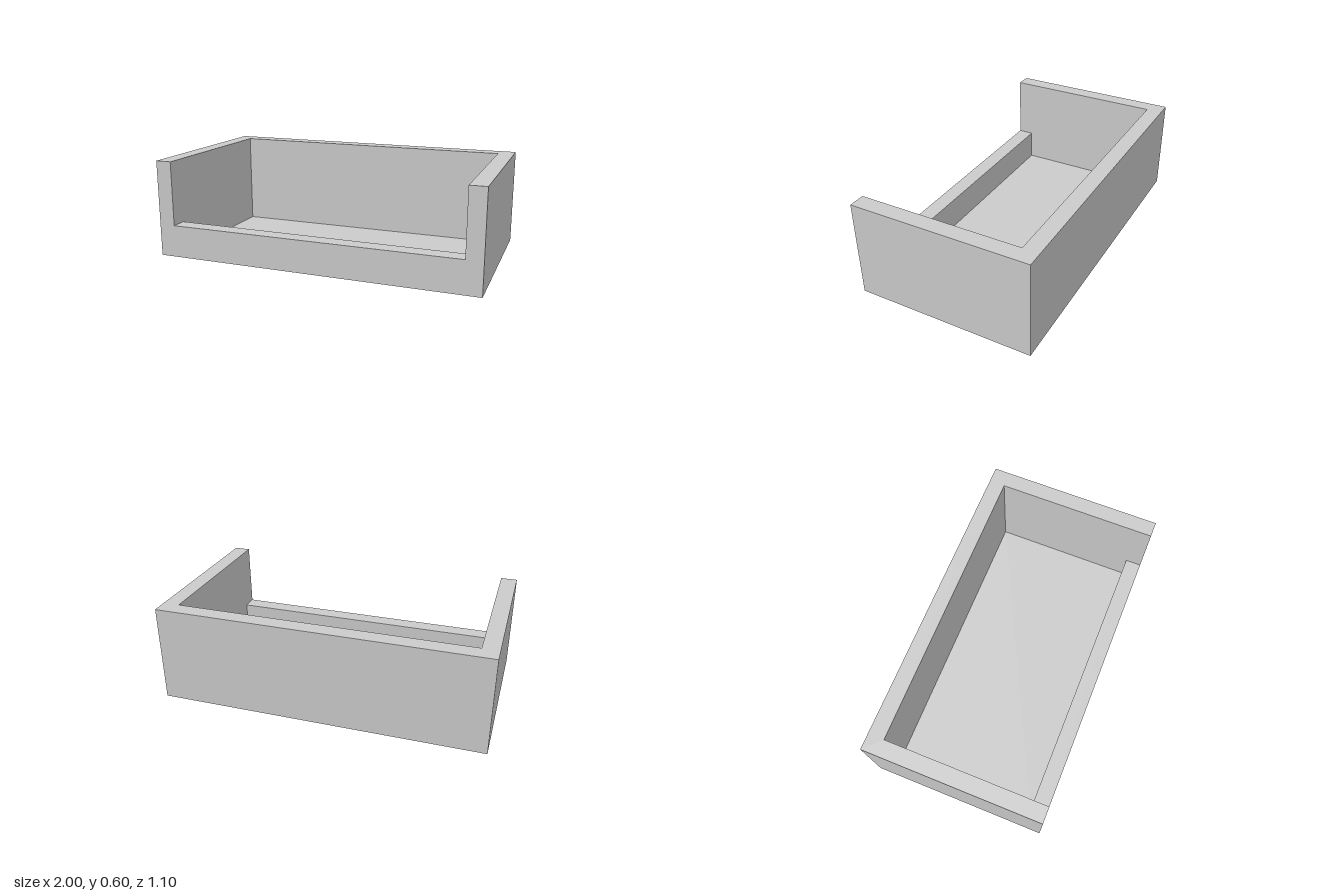
import * as THREE from 'three';

const W = 2, D = 1.1, H = 0.6; // outer size
const T = 0.1;                 // wall thickness
const LIP = 0.2;               // height of the low front wall
const FLOOR = 0.005;           // thin floor sheet

export function createModel() {
  const group = new THREE.Group();
  group.name = 'openTray';
  const material = new THREE.MeshStandardMaterial({ color: 0xcccccc });

  const add = (name, geometry, x = 0, y = 0, z = 0) => {
    const mesh = new THREE.Mesh(geometry, material);
    mesh.name = name;
    mesh.position.set(x, y, z);
    group.add(mesh);
  };

  // Back and side walls: one U-shaped plan, open to the front (plan y is -z)
  const x = W / 2, z = D / 2;
  const plan = new THREE.Shape([
    [-x, -z], [-x + T, -z], [-x + T, z - T], [x - T, z - T],
    [x - T, -z], [x, -z], [x, z], [-x, z],
  ].map(([px, py]) => new THREE.Vector2(px, py)));
  const walls = new THREE.ExtrudeGeometry(plan, { depth: H, bevelEnabled: false });
  walls.rotateX(-Math.PI / 2);
  add('backAndSideWalls', walls);

  // Low wall closing the front between the sides
  add('frontLip', new THREE.BoxGeometry(W - 2 * T, LIP, T), 0, LIP / 2, z - T / 2);

  // Floor inside the walls
  add('floor', new THREE.BoxGeometry(W - 2 * T, FLOOR, D - 2 * T), 0, FLOOR / 2, 0);

  return group;
}
